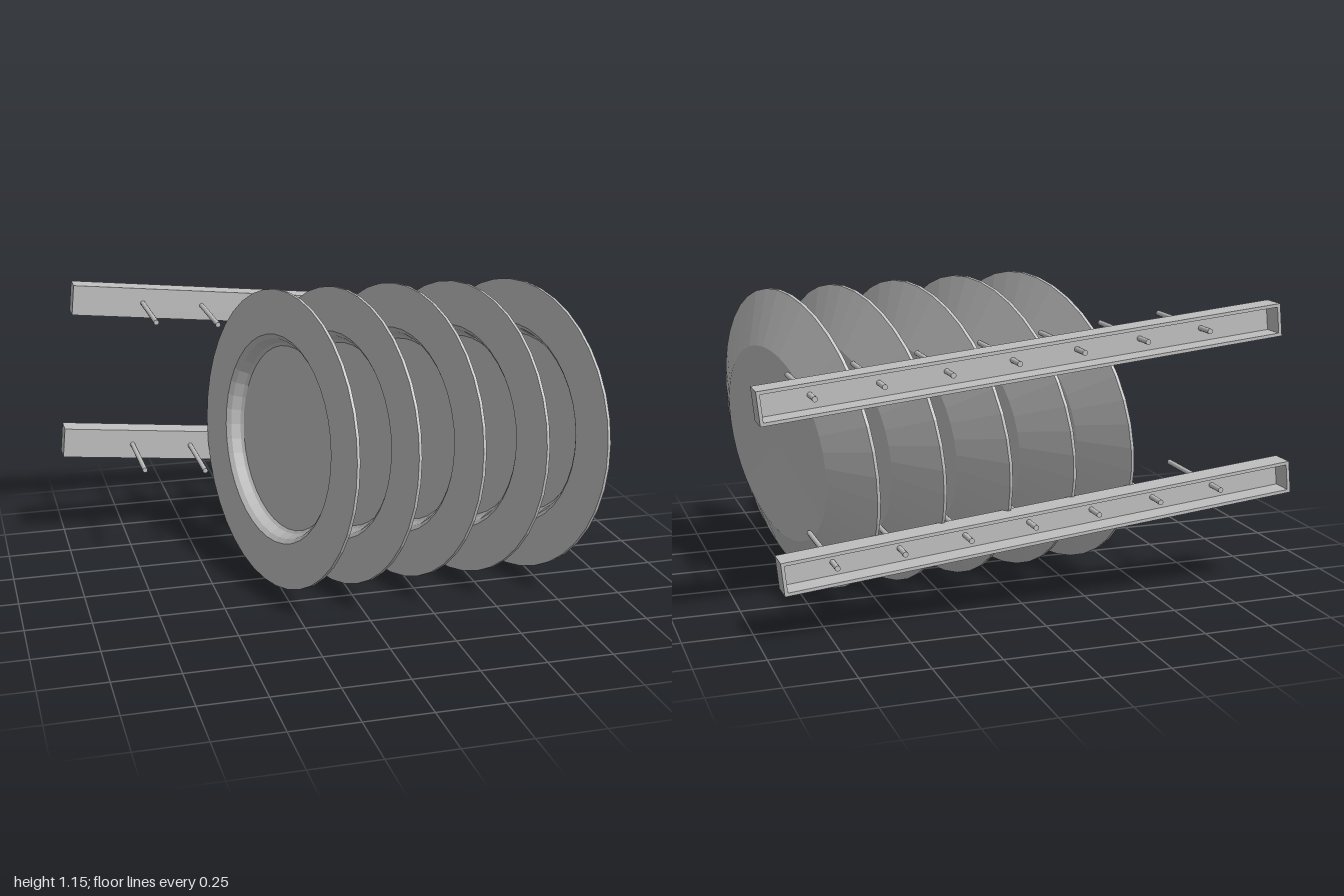
import * as THREE from 'three';

const grey = new THREE.MeshStandardMaterial({ color: 0xc0c0c0 });
grey.name = 'grey';

function mesh(name, geometry, x = 0, y = 0, z = 0) {
  const m = new THREE.Mesh(geometry, grey);
  m.name = name;
  m.position.set(x, y, z);
  return m;
}

// Hollow channel, open at the back, with a row of pegs through its face
function makeRail(name, x, y) {
  const L = 1.93, H = 0.12, D = 0.095, T = 0.012;
  const rail = new THREE.Group();
  rail.name = name;
  rail.add(mesh('railFace', new THREE.BoxGeometry(L, H, T), 0, 0, D / 2 - T / 2));
  for (const s of [-1, 1]) {
    rail.add(mesh('railFlange', new THREE.BoxGeometry(L, T, D - T), 0, s * (H - T) / 2, -T / 2));
    rail.add(mesh('railEnd', new THREE.BoxGeometry(T, H - 2 * T, D - T), s * (L - T) / 2, 0, -T / 2));
  }
  const pegGeometry = new THREE.CylinderGeometry(0.01, 0.01, 0.435, 12).rotateX(Math.PI / 2);
  for (let i = 0; i < 7; i++) {
    rail.add(mesh('peg', pegGeometry, -0.683 + i * 0.2425, 0, 0.176));
  }
  rail.position.set(x, y, -0.627);
  rail.rotation.z = -0.101;
  return rail;
}

// Oval plate: well and rim on the low side, tapered flank and base on the high side
function makePlateGeometry() {
  const profile = [
    [0, 0.055], [0.62, 0.055], [0.64, 0.046], [0.67, 0.014], [0.7, 0],
    [1, 0], [1, 0.012], [0.653, 0.095], [0, 0.085],
  ].map(([r, h]) => new THREE.Vector2(r, h));
  const lathe = new THREE.LatheGeometry(profile, 40);
  lathe.scale(0.655, 1, 0.57);

  // Lean the plate: its axis runs along the rails, turned a little backwards
  const axis = new THREE.Vector3(1, -0.1, -0.22).normalize();
  const along = new THREE.Vector3(0.22, 0, 1).normalize();
  const up = new THREE.Vector3().crossVectors(along, axis);
  lathe.applyMatrix4(new THREE.Matrix4().makeBasis(along, axis, up));

  const faceted = lathe.toNonIndexed();
  faceted.computeVertexNormals();
  return faceted;
}

export function createModel() {
  const model = new THREE.Group();
  model.name = 'plateRack';

  model.add(makeRail('upperRail', 0.03, 0.943));
  model.add(makeRail('lowerRail', -0.035, 0.348));

  // Row of plates resting between the pegs
  const plateGeometry = makePlateGeometry();
  const centres = [
    [-0.247, 0.59, 0.03], [-0.017, 0.585, 0.02], [0.232, 0.581, 0],
    [0.476, 0.576, 0], [0.715, 0.572, 0],
  ];
  for (const [x, y, z] of centres) model.add(mesh('plate', plateGeometry, x, y, z));

  return model;
}
